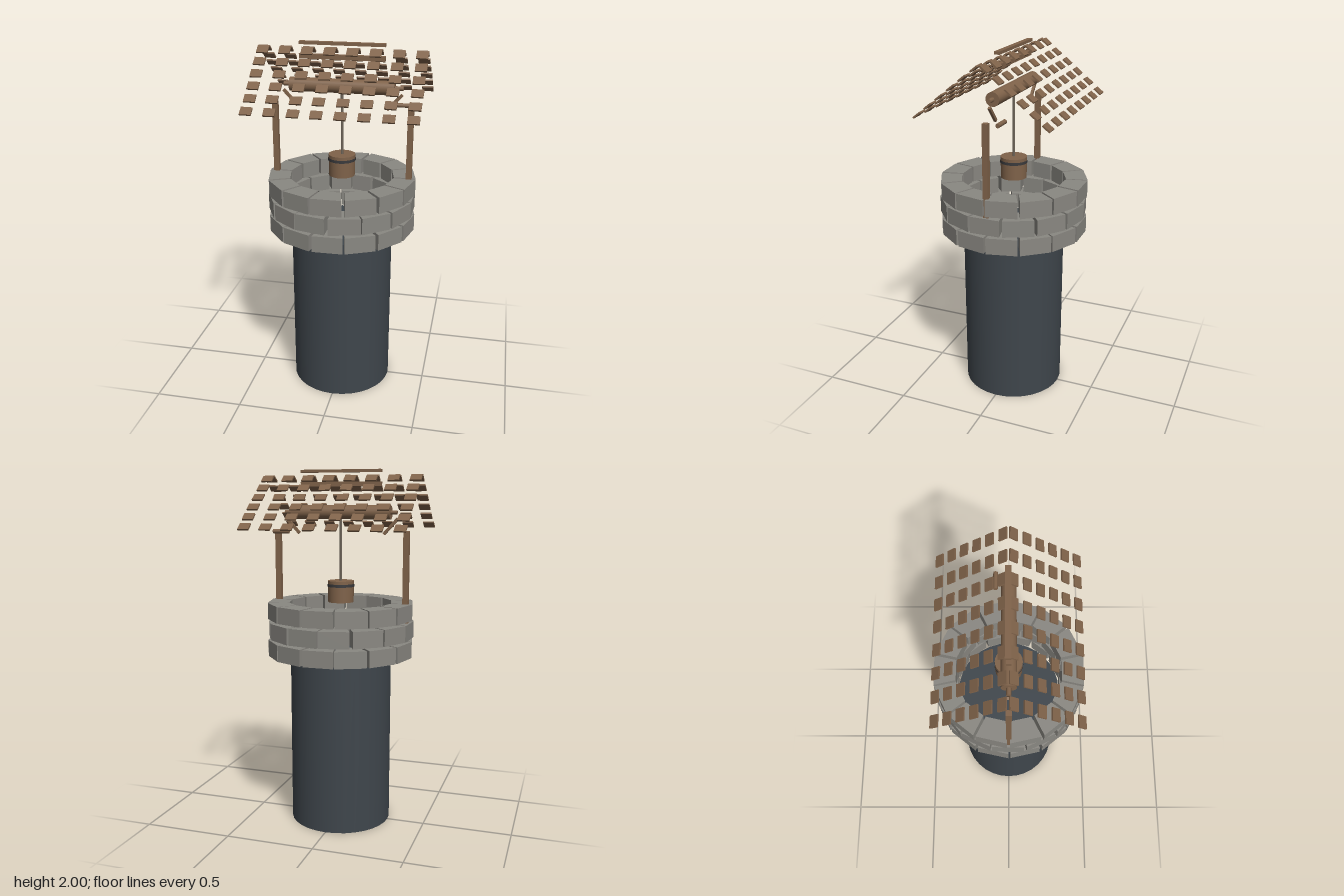
import * as THREE from 'three';

const material = (color, flat = true) => new THREE.MeshStandardMaterial({ color, flatShading: flat, roughness: 0.9 });

export function createModel() {
  const well = new THREE.Group();
  well.name = 'well';
  const stone = material(0x8a8882);
  const wood = material(0x80634a);
  const woodSmooth = material(0x80634a, false);
  const shaftMat = material(0x3f464c, false);
  const ironMat = material(0x3a3a3c, false);

  // Small seeded jitter in the range -1..1
  let seed = 7;
  const jitter = () => {
    seed = (seed * 16807) % 2147483647;
    return (seed / 2147483647) * 2 - 1;
  };

  const add = (name, geometry, mat, x = 0, y = 0, z = 0, parent = well) => {
    const mesh = new THREE.Mesh(geometry, mat);
    mesh.name = name;
    mesh.position.set(x, y, z);
    parent.add(mesh);
    return mesh;
  };
  const group = (name) => {
    const g = new THREE.Group();
    g.name = name;
    well.add(g);
    return g;
  };

  // Deep shaft under the stone ring
  add('shaft', new THREE.CylinderGeometry(0.286, 0.286, 0.97, 32), shaftMat, 0, 0.485, 0);

  // Wedge-shaped stone: outline in plan, extruded upwards
  const stoneGeometry = (height, outerHalf, innerHalf) => {
    const shape = new THREE.Shape([
      new THREE.Vector2(-innerHalf, 0.285),
      new THREE.Vector2(innerHalf, 0.285),
      new THREE.Vector2(outerHalf, 0.403),
      new THREE.Vector2(-outerHalf, 0.403),
    ]);
    const geometry = new THREE.ExtrudeGeometry(shape, { depth: height, bevelEnabled: false });
    return geometry.rotateX(Math.PI / 2).translate(0, height, 0);
  };

  // Three courses of stones, the middle one offset by half a stone
  const ring = group('stoneRing');
  const count = 14;
  [0.972, 1.077, 1.182].forEach((y, row) => {
    for (let i = 0; i < count; i++) {
      const block = add('stone', stoneGeometry(0.091, 0.085 + 0.002 * jitter(), 0.058), stone, 0, y, 0, ring);
      block.rotation.y = ((i + (row % 2) / 2) / count) * Math.PI * 2 + 0.012 * jitter();
    }
  });

  // Posts standing in the ring
  for (const side of [-1, 1]) {
    add('post', new THREE.BoxGeometry(0.031, 0.55, 0.029), wood, side * 0.374, 1.395, 0);
  }

  // Windlass log with short axle ends
  const log = add('windlassLog', new THREE.CylinderGeometry(0.038, 0.038, 0.57, 20), woodSmooth, 0, 1.77, 0);
  log.rotation.z = Math.PI / 2;
  const axle = add('axle', new THREE.CylinderGeometry(0.012, 0.012, 0.65, 10), woodSmooth, 0.005, 1.77, 0);
  axle.rotation.z = Math.PI / 2;

  // Slanted braces under the log
  for (const side of [-1, 1]) {
    const brace = add('brace', new THREE.BoxGeometry(0.016, 0.115, 0.014), wood, side * 0.285, 1.695, 0);
    brace.rotation.z = -side * 0.75;
  }

  // Crank grip
  const grip = add('crankGrip', new THREE.CylinderGeometry(0.012, 0.012, 0.094, 12), woodSmooth, 0.33, 1.664, -0.067);
  grip.rotation.z = Math.PI / 2;

  // Rope and bucket
  add('rope', new THREE.CylinderGeometry(0.007, 0.007, 0.37, 8), material(0x6f665a, false), 0, 1.56, 0);
  add('bucket', new THREE.CylinderGeometry(0.074, 0.072, 0.12, 24), woodSmooth, 0, 1.332, 0);
  add('bucketBand', new THREE.CylinderGeometry(0.077, 0.077, 0.016, 24, 1, true), ironMat, 0, 1.367, 0);

  // Ridge cap and ridge beam
  add('ridgeCap', new THREE.BoxGeometry(0.462, 0.016, 0.029), wood, 0, 1.992, -0.003);
  add('ridgeBeam', new THREE.BoxGeometry(0.462, 0.025, 0.025), wood, 0, 1.922, 0);

  // Two slopes of loosely spaced shingles
  const roof = group('roof');
  const tile = new THREE.BoxGeometry(0.062, 0.009, 0.048);
  const pitch = Math.atan(0.79);
  for (const side of [-1, 1]) {
    for (let row = 0; row < 6; row++) {
      for (let col = 0; col < 8; col++) {
        const shingle = add('shingle', tile, wood,
          (col - 3.5) * 0.1215 + 0.002 * jitter(),
          1.952 - row * 0.051,
          side * (0.0255 + row * 0.064) - 0.003, roof);
        shingle.rotation.set(side * pitch, 0.03 * jitter(), 0.02 * jitter());
      }
    }
  }
  return well;
}
